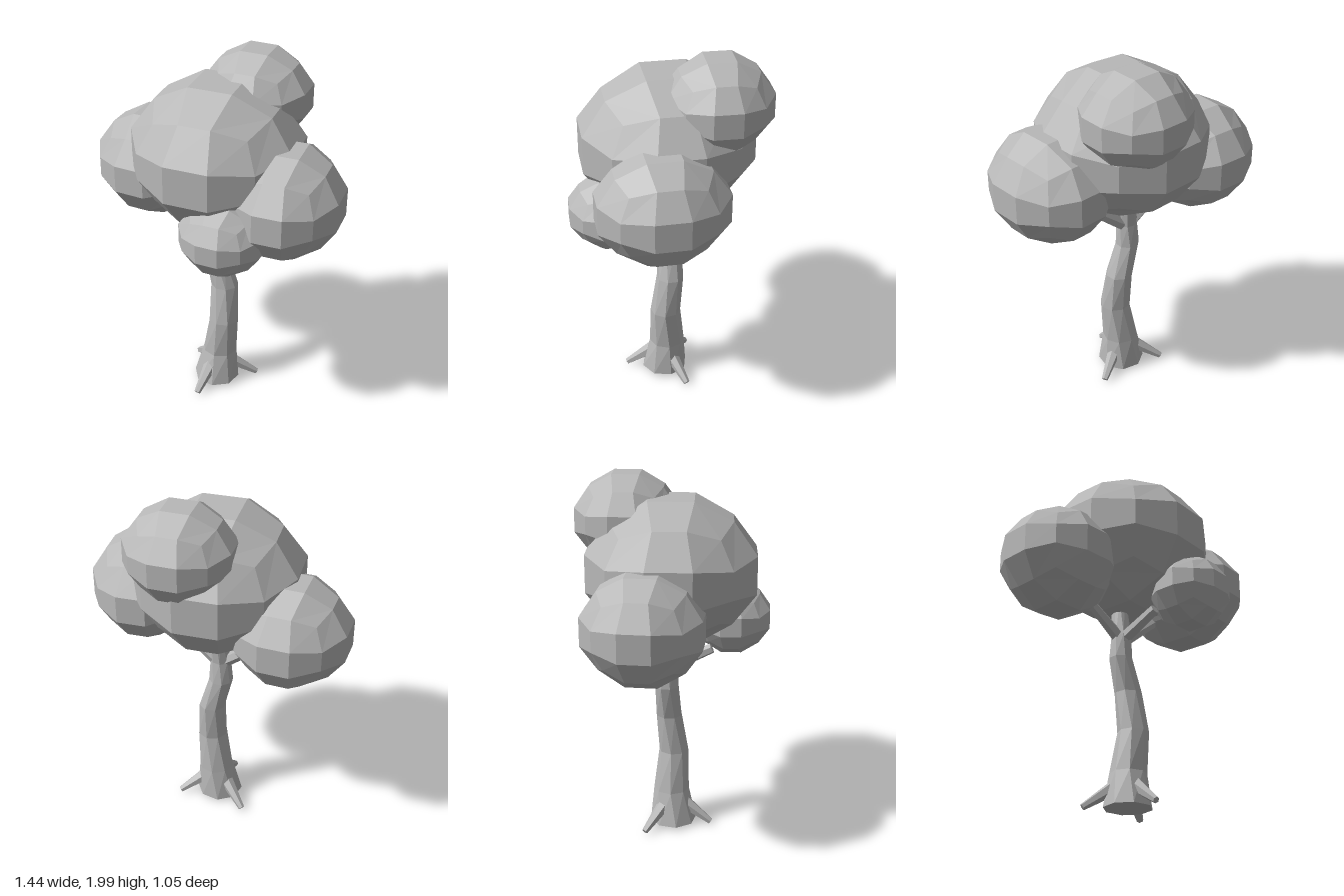
import * as THREE from 'three';

const grey = new THREE.MeshStandardMaterial({ color: 0xb8b8b8, flatShading: true });
grey.name = 'plain grey';

function part(name, geometry) {
  geometry.computeVertexNormals();
  const mesh = new THREE.Mesh(geometry, grey);
  mesh.name = name;
  return mesh;
}

// Leaf clump: a 3x3x3 box rounded into an ellipsoid with the given half extents,
// its former edges and corners drawn in a little
const drawIn = [1, 1, 0.97, 0.925];
function leafClump(name, [x, y, z], [rx, ry, rz], turn = 0) {
  const geo = new THREE.BoxGeometry(1, 1, 1, 3, 3, 3);
  const pos = geo.attributes.position;
  const v = new THREE.Vector3();
  const bend = (t) => Math.tan(t * Math.PI / 2);
  for (let i = 0; i < pos.count; i++) {
    v.fromBufferAttribute(pos, i);
    const sidesTouched = v.toArray().filter((t) => Math.abs(t) > 0.49).length;
    v.set(bend(v.x), bend(v.y), bend(v.z)).setLength(drawIn[sidesTouched] / 0.935);
    pos.setXYZ(i, v.x * rx, v.y * ry, v.z * rz);
  }
  geo.rotateY(turn);
  geo.translate(x, y, z);
  return part(name, geo);
}

// Trunk: a twisted cylinder whose rows follow [x, y, z, radius], top first
function trunk(rows, sides, twist) {
  const n = rows.length - 1;
  const geo = new THREE.CylinderGeometry(1, 1, 1, sides, n);
  const pos = geo.attributes.position;
  for (let i = 0; i < pos.count; i++) {
    const k = Math.round((0.5 - pos.getY(i)) * n);
    const [x, y, z, r] = rows[k];
    const c = Math.cos(k * twist), s = Math.sin(k * twist);
    const px = pos.getX(i), pz = pos.getZ(i);
    pos.setXYZ(i, x + r * (px * c - pz * s), y, z + r * (px * s + pz * c));
  }
  return part('trunk', geo);
}

// Tapered limb between two points, used for branches and roots
function limb(name, from, to, r0, r1) {
  const a = new THREE.Vector3(...from), b = new THREE.Vector3(...to);
  const dir = b.clone().sub(a);
  const geo = new THREE.CylinderGeometry(r1, r0, dir.length(), 6);
  geo.applyQuaternion(new THREE.Quaternion().setFromUnitVectors(
    new THREE.Vector3(0, 1, 0), dir.clone().normalize()));
  const mid = a.add(b).multiplyScalar(0.5);
  geo.translate(mid.x, mid.y, mid.z);
  return part(name, geo);
}

export function createModel() {
  const tree = new THREE.Group();
  tree.name = 'tree';

  tree.add(trunk([
    [0.005, 1.2, -0.06, 0.042],
    [-0.008, 0.98, -0.032, 0.056],
    [-0.01, 0.85, -0.035, 0.066],
    [0.042, 0.66, -0.027, 0.075],
    [0.05, 0.44, 0, 0.084],
    [0.024, 0.21, -0.012, 0.099],
    [0.007, 0.022, 0, 0.13],
  ], 8, -0.16));

  // Branches
  const fork = [-0.01, 0.96, -0.03];
  tree.add(limb('rightBranch', fork, [-0.23, 1.135, -0.07], 0.038, 0.027));
  tree.add(limb('leftBranch', fork, [0.22, 1.14, -0.01], 0.042, 0.032));
  tree.add(limb('frontBranch', fork, [-0.01, 1.075, 0.21], 0.036, 0.028));

  // Roots
  tree.add(limb('rightRoot', [-0.03, 0.14, -0.04], [-0.17, 0.02, -0.15], 0.042, 0.018));
  tree.add(limb('leftRoot', [0.06, 0.14, -0.02], [0.218, 0.02, -0.1], 0.042, 0.018));
  tree.add(limb('frontRoot', [0, 0.14, 0.05], [-0.025, 0.02, 0.215], 0.042, 0.018));

  // Foliage
  tree.add(leafClump('mainFoliage', [0.01, 1.51, -0.01], [0.44, 0.385, 0.45], 0.03));
  tree.add(leafClump('topFoliage', [0.13, 1.755, -0.255], [0.28, 0.245, 0.275]));
  tree.add(leafClump('rightFoliage', [-0.41, 1.315, -0.125], [0.31, 0.285, 0.31], -0.05));
  tree.add(leafClump('leftFoliage', [0.425, 1.35, 0.07], [0.29, 0.29, 0.335], 0.04));
  tree.add(leafClump('frontFoliage', [0.17, 1.205, 0.31], [0.22, 0.195, 0.21]));

  return tree;
}
